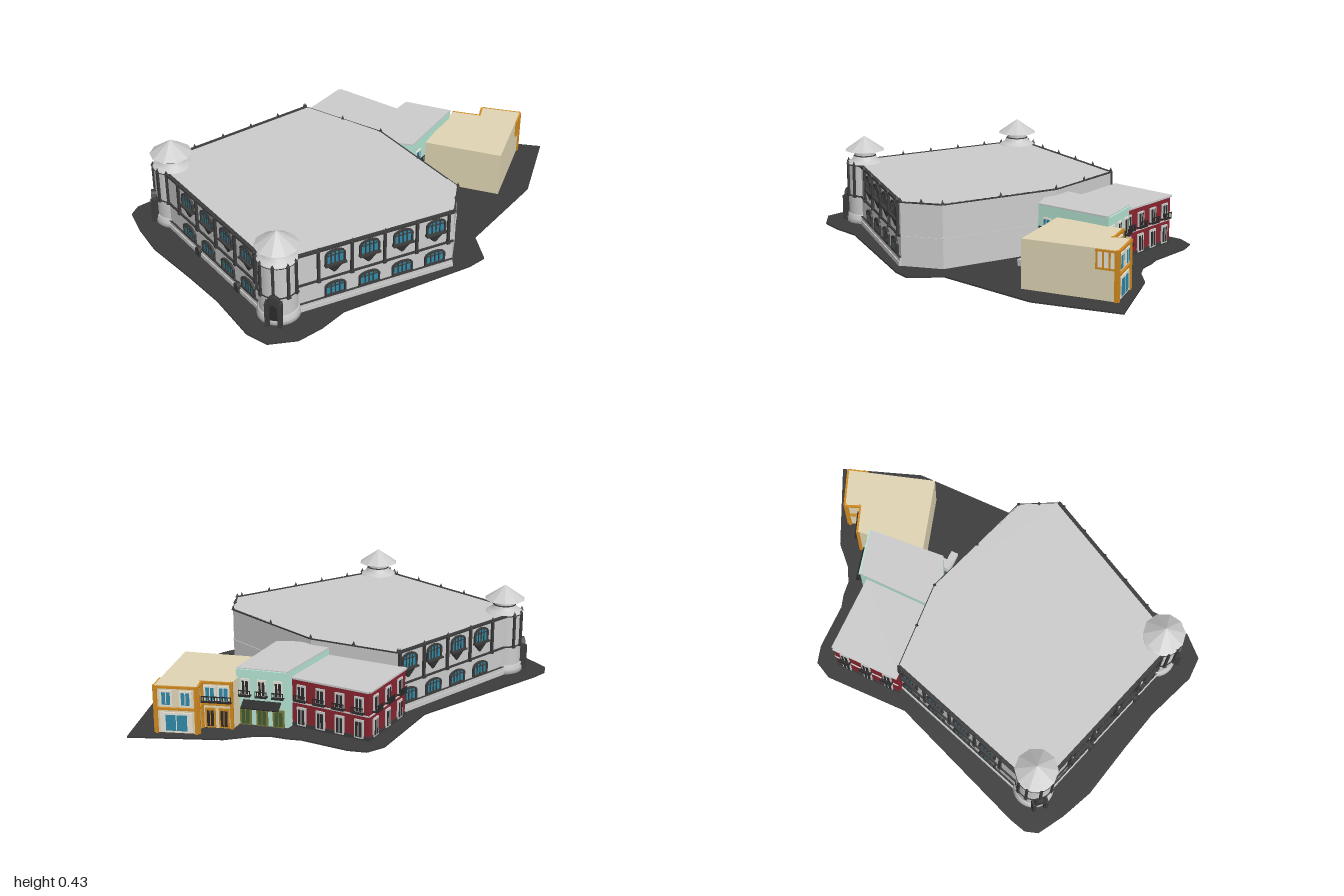
import * as THREE from 'three';

const mats = {};
const mat = (c) => (mats[c] ??= new THREE.MeshStandardMaterial({ color: c, side: THREE.DoubleSide }));
const GREY = 0xcccccc, DARK = 0x3c3c3c, GLASS = 0x2f8aa8, WHITE = 0xe8e4d8;
const RED = 0x8a2530, MINT = 0xb5e6d4, SAND = 0xe0d5b4, ORANGE = 0xd08a20, BLACK = 0x2a2a2a;

function add(parent, name, geo, color, x = 0, y = 0, z = 0) {
  const m = new THREE.Mesh(geo, mat(color));
  m.name = name;
  m.position.set(x, y, z);
  parent.add(m);
  return m;
}
const box = (parent, name, w, h, d, color, x, y, z) =>
  add(parent, name, new THREE.BoxGeometry(w, h, d), color, x, y, z);

// Upright prism over a plan given as [x, z] corners
const planShape = (pts) => new THREE.Shape(pts.map(([x, z]) => new THREE.Vector2(x, -z)));
function prism(parent, name, shape, y0, y1, color) {
  const g = new THREE.ExtrudeGeometry(shape, { depth: y1 - y0, bevelEnabled: false });
  return add(parent, name, g.rotateX(-Math.PI / 2), color, 0, y0, 0);
}

// Group lying on a wall: local x runs from p to q, local z points outward
function wall(parent, name, p, q) {
  const g = new THREE.Group();
  g.name = name;
  g.position.set(p[0], 0, p[1]);
  g.rotation.y = Math.atan2(p[1] - q[1], q[0] - p[0]);
  g.userData.len = Math.hypot(q[0] - p[0], q[1] - p[1]);
  parent.add(g);
  return g;
}

function archShape(w, y0, spring, top) {
  const s = new THREE.Shape(), h = w / 2, c = spring + (top - spring) / 0.75;
  s.moveTo(-h, y0);
  s.lineTo(h, y0);
  s.lineTo(h, spring);
  s.bezierCurveTo(h * 0.8, c, -h * 0.8, c, -h, spring);
  return s;
}
const flat = (shape, depth) => new THREE.ExtrudeGeometry(shape, { depth, bevelEnabled: false, curveSegments: 8 });

// Arched window with dark surround, glass and glazing bars
function archWindow(parent, x, w, y0, spring, top) {
  const frame = archShape(w, y0, spring, top);
  frame.holes.push(archShape(w - 0.016, y0 + 0.007, spring, top - 0.008));
  add(parent, 'windowFrame', flat(frame, 0.01), DARK, x);
  add(parent, 'windowGlass', flat(archShape(w - 0.012, y0 + 0.004, spring, top - 0.006), 0.003), GLASS, x);
  for (const k of [-1, 0, 1])
    box(parent, 'glazingBar', 0.005, top - y0 - 0.012, 0.007, DARK, x + k * w * 0.2, (y0 + top) / 2 - 0.002, 0.003);
  box(parent, 'transom', w - 0.01, 0.004, 0.007, DARK, x, spring - 0.004, 0.003);
}

// Bay with arched window above and a tapering corbel below
function upperBay(parent, x) {
  archWindow(parent, x, 0.095, 0.21, 0.262, 0.286);
  const corbel = new THREE.CylinderGeometry(0.048, 0.006, 0.045, 10, 1, false, -Math.PI / 2, Math.PI);
  corbel.scale(1, 1, 0.4);
  add(parent, 'bayCorbel', corbel, DARK, x, 0.19, 0);
  box(parent, 'baySill', 0.1, 0.008, 0.022, DARK, x, 0.213, 0.008);
}

function finial(parent, x, z) {
  add(parent, 'finial', new THREE.ConeGeometry(0.01, 0.022, 4), DARK, x, 0.309, z);
}
function pilaster(parent, x, z) {
  box(parent, 'pilaster', 0.011, 0.155, 0.012, DARK, x, 0.222, z);
  box(parent, 'pilasterFoot', 0.017, 0.012, 0.016, DARK, x, 0.145, z);
  finial(parent, x, z);
}

// Long arcaded front of the market hall
function arcade(parent, name, p, q, fromEnd, smallDoors) {
  const g = wall(parent, name, p, q), L = g.userData.len;
  const at = (d) => (fromEnd ? L - d : d);
  box(g, 'plinthLower', L, 0.03, 0.024, GREY, L / 2, 0.015, 0);
  box(g, 'plinthUpper', L, 0.048, 0.014, GREY, L / 2, 0.024, 0);
  box(g, 'plinthLine', L, 0.003, 0.018, DARK, L / 2, 0.048, 0);
  box(g, 'stringCourse', L, 0.008, 0.016, DARK, L / 2, 0.145, 0);
  box(g, 'cornice', L, 0.009, 0.018, DARK, L / 2, 0.2975, 0);
  for (let i = 0; i < 5; i++) {
    pilaster(g, at(0.215 + 0.155 * i), 0.006);
    if (i === 4) break;
    archWindow(g, at(0.293 + 0.16 * i), 0.1, 0.052, 0.1, 0.121);
    upperBay(g, at(0.293 + 0.16 * i));
  }
  if (smallDoors) for (const d of [0.376, 0.695])
    add(g, 'cellarDoor', flat(archShape(0.036, 0.008, 0.04, 0.055), 0.02), DARK, d);
}

// Round corner tower with pointed roof and arched entrance
function tower(parent, x, z, facing) {
  const g = new THREE.Group();
  g.name = 'cornerTower';
  g.position.set(x, 0, z);
  g.rotation.y = facing;
  parent.add(g);
  const lathe = (name, pts) =>
    add(g, name, new THREE.LatheGeometry(pts.map(([r, y]) => new THREE.Vector2(r, y)), 28), GREY);
  lathe('towerPlinth', [[0, 0], [0.094, 0], [0.094, 0.03], [0.09, 0.032], [0.09, 0.05], [0.084, 0.052]]);
  lathe('towerBody', [[0.084, 0.05], [0.084, 0.3]]);
  lathe('towerShoulder', [[0.088, 0.3], [0.086, 0.305], [0.07, 0.312], [0.06, 0.322], [0.054, 0.335]]);
  lathe('towerNeck', [[0.05, 0.325], [0.05, 0.368]]);
  for (const [r, y] of [[0.085, 0.145], [0.086, 0.298], [0.051, 0.335]])
    add(g, 'towerBand', new THREE.TorusGeometry(r, 0.004, 4, 28).rotateX(Math.PI / 2), DARK, 0, y, 0);
  const roof = add(g, 'towerRoof', new THREE.ConeGeometry(0.097, 0.068, 10), GREY, 0, 0.396, 0);
  roof.material = mat(GREY).clone();
  roof.material.flatShading = true;
  for (const a of [-1.3, -0.75, 0, 0.75, 1.3]) {
    const arm = new THREE.Group();
    arm.name = 'towerPilaster';
    arm.rotation.y = a;
    g.add(arm);
    pilaster(arm, 0, 0.087);
  }
  const portal = archShape(0.062, 0.008, 0.12, 0.165);
  portal.holes.push(archShape(0.036, 0.008, 0.1, 0.125));
  add(g, 'entrancePortal', flat(portal, 0.035), DARK, 0, 0, 0.07);
  add(g, 'entranceDoor', flat(archShape(0.04, 0.008, 0.1, 0.127), 0.01), BLACK, 0, 0, 0.08);
  for (const s of [-1, 1]) box(g, 'portalPier', 0.012, 0.125, 0.04, DARK, s * 0.03, 0.07, 0.09);
}

// Rectangular framed opening, optionally with an iron balcony
function houseWindow(parent, x, y, w, h, frame, pane, balcony) {
  box(parent, 'houseFrame', w, h, 0.008, frame, x, y, 0.002);
  box(parent, 'housePane', w * 0.66, h * 0.8, 0.01, pane, x, y - h * 0.02, 0.003);
  box(parent, 'houseMullion', 0.004, h * 0.8, 0.012, frame, x, y, 0.003);
  if (!balcony) return;
  const b = y - h / 2;
  box(parent, 'balconySlab', w * 1.3, 0.005, 0.024, BLACK, x, b, 0.012);
  box(parent, 'balconyRail', w * 1.3, 0.004, 0.004, BLACK, x, b + 0.026, 0.022);
  for (let i = 0; i < 7; i++)
    box(parent, 'baluster', 0.0025, 0.026, 0.0025, BLACK, x + (i / 6 - 0.5) * w * 1.26, b + 0.013, 0.022);
}

export function createModel() {
  const model = new THREE.Group();
  model.name = 'marketBlock';

  prism(model, 'pavement', planShape([[0.5, -1], [0.64, -0.63], [0.645, -0.14], [0.76, -0.03], [0.74, 0.06],
    [0.48, 0.64], [0.47, 0.78], [0.44, 0.9], [0.35, 0.995], [0.24, 0.995], [0, 0.905], [-0.2, 0.855], [-0.47, 0.795],
    [-0.62, 0.73], [-0.74, 0.66], [-0.76, 0.6], [-0.74, 0.52], [-0.49, -0.15], [-0.5, -0.55], [-0.46, -0.63],
    [-0.38, -0.655], [-0.16, -0.66], [-0.1, -0.68], [-0.03, -0.69], [0.04, -0.73], [0.13, -0.82]]), 0.003, 0.01, DARK);

  // Market hall: wall ring, roof slab, three arcades and plain rear walls
  const hall = new THREE.Group();
  hall.name = 'marketHall';
  model.add(hall);
  const plan = [[-0.63, 0.59], [0.27, 0.865], [0.67, 0.1], [0.58, -0.07], [0.04, -0.245], [-0.385, -0.215]];
  const ring = planShape(plan);
  ring.holes.push(planShape(plan.map(([x, z]) => [0.04 + (x - 0.04) * 0.95, 0.3 + (z - 0.3) * 0.95])));
  prism(hall, 'hallWalls', ring, 0, 0.296, GREY);
  prism(hall, 'hallRoof', planShape(plan), 0.29, 0.301, GREY);
  arcade(hall, 'frontArcade', plan[0], plan[1], false, true);
  arcade(hall, 'leftArcade', plan[1], plan[2], false, false);
  arcade(hall, 'rightArcade', plan[5], plan[0], true, false);
  for (let i = 2; i < 5; i++) {
    const g = wall(hall, 'rearWall', plan[i], plan[i + 1]), L = g.userData.len;
    box(g, 'rearCornice', L, 0.006, 0.008, DARK, L / 2, 0.298, 0);
    box(g, 'rearCourse', L, 0.005, 0.006, GREY, L / 2, 0.145, 0);
    finial(g, 0, 0);
    finial(g, L / 2, 0);
  }
  finial(hall, plan[5][0], plan[5][1]);
  tower(hall, -0.56, 0.55, -0.85);
  tower(hall, 0.26, 0.805, 0.46);

  // Red house
  const red = new THREE.Group();
  red.name = 'redHouse';
  model.add(red);
  const rp = [[-0.42, -0.21], [-0.05, -0.21], [-0.05, -0.55], [-0.42, -0.54]];
  prism(red, 'redWalls', planShape(rp), 0, 0.23, RED);
  prism(red, 'redRoof', planShape(rp), 0.23, 0.236, GREY);
  for (const [p, q, n] of [[rp[2], rp[3], 4], [rp[3], rp[0], 3]]) {
    const g = wall(red, 'redFacade', p, q), L = g.userData.len;
    box(g, 'redCornice', L, 0.008, 0.018, GREY, L / 2, 0.232, 0);
    box(g, 'redCourse', L, 0.005, 0.01, GREY, L / 2, 0.122, 0);
    box(g, 'redPlinth', L, 0.02, 0.008, DARK, L / 2, 0.018, 0);
    for (let i = 0; i < n; i++) {
      houseWindow(g, L * (i + 0.5) / n, 0.17, 0.044, 0.07, GREY, BLACK, true);
      houseWindow(g, L * (i + 0.5) / n, 0.06, 0.044, 0.085, GREY, BLACK, false);
    }
  }

  // Mint house with shop awning
  const mint = new THREE.Group();
  mint.name = 'mintHouse';
  model.add(mint);
  const mp = [[-0.05, -0.235], [0.11, -0.235], [0.2, -0.28], [0.17, -0.65], [-0.05, -0.59]];
  prism(mint, 'mintWalls', planShape(mp), 0, 0.264, MINT);
  prism(mint, 'mintRoof', planShape(mp), 0.264, 0.27, GREY);
  const shop = wall(mint, 'mintFacade', mp[3], mp[4]);
  box(shop, 'mintCornice', 0.228, 0.008, 0.016, MINT, 0.114, 0.262, 0);
  for (let i = 0; i < 3; i++) {
    houseWindow(shop, 0.04 + i * 0.074, 0.185, 0.04, 0.075, WHITE, BLACK, true);
    houseWindow(shop, 0.04 + i * 0.074, 0.05, 0.052, 0.08, 0x7a7a3a, 0x3f5a32, false);
  }
  box(shop, 'awning', 0.17, 0.005, 0.05, BLACK, 0.114, 0.112, 0.02).rotation.x = 0.5;
  const side = wall(mint, 'mintSide', mp[2], mp[3]);
  for (const y of [0.18, 0.075]) houseWindow(side, 0.05, y, 0.045, 0.065, WHITE, GLASS, true);
  box(model, 'yardWall', 0.045, 0.04, 0.09, GREY, 0.25, 0.03, -0.32);
  box(model, 'yardStep', 0.1, 0.03, 0.035, GREY, 0.275, 0.025, -0.287);

  // Sand house with timber posts and galleries
  const sand = new THREE.Group();
  sand.name = 'sandHouse';
  model.add(sand);
  const sp = [[0.2, -0.39], [0.55, -0.5], [0.42, -0.9], [0.25, -0.83], [0.28, -0.76], [0.15, -0.71]];
  prism(sand, 'sandWalls', planShape(sp), 0, 0.226, SAND);
  for (const [i, wins] of [[2, [0.05, 0.134]], [3, []], [4, [0.04, 0.1]]]) {
    const g = wall(sand, 'timberFacade', sp[i], sp[i + 1]), L = g.userData.len;
    for (const x of [0.005, L - 0.005]) box(g, 'timberPost', 0.013, 0.216, 0.016, ORANGE, x, 0.118, 0.002);
    for (const y of [0.122, 0.22]) box(g, 'timberBeam', L, 0.01, 0.016, ORANGE, L / 2, y, 0.002);
    for (const x of wins) houseWindow(g, x, 0.17, 0.055, 0.07, WHITE, GLASS, i === 4);
    if (i === 2) houseWindow(g, L / 2, 0.06, 0.14, 0.09, WHITE, GLASS, false);
    if (i === 4) for (const x of wins) houseWindow(g, x, 0.058, 0.045, 0.09, ORANGE, BLACK, false);
  }
  const gallery = wall(sand, 'sideGallery', sp[1], sp[2]), G = gallery.userData.len;
  box(gallery, 'galleryOpening', 0.088, 0.07, 0.006, WHITE, G - 0.046, 0.182, 0.001);
  for (let i = 0; i < 4; i++) box(gallery, 'galleryPost', 0.008, 0.075, 0.012, ORANGE, G - 0.004 - i * 0.028, 0.182, 0.002);
  for (const y of [0.145, 0.22]) box(gallery, 'galleryBeam', 0.094, 0.008, 0.012, ORANGE, G - 0.046, y, 0.002);
  box(gallery, 'cornerPost', 0.012, 0.216, 0.012, ORANGE, G - 0.004, 0.118, 0.002);

  return model;
}
